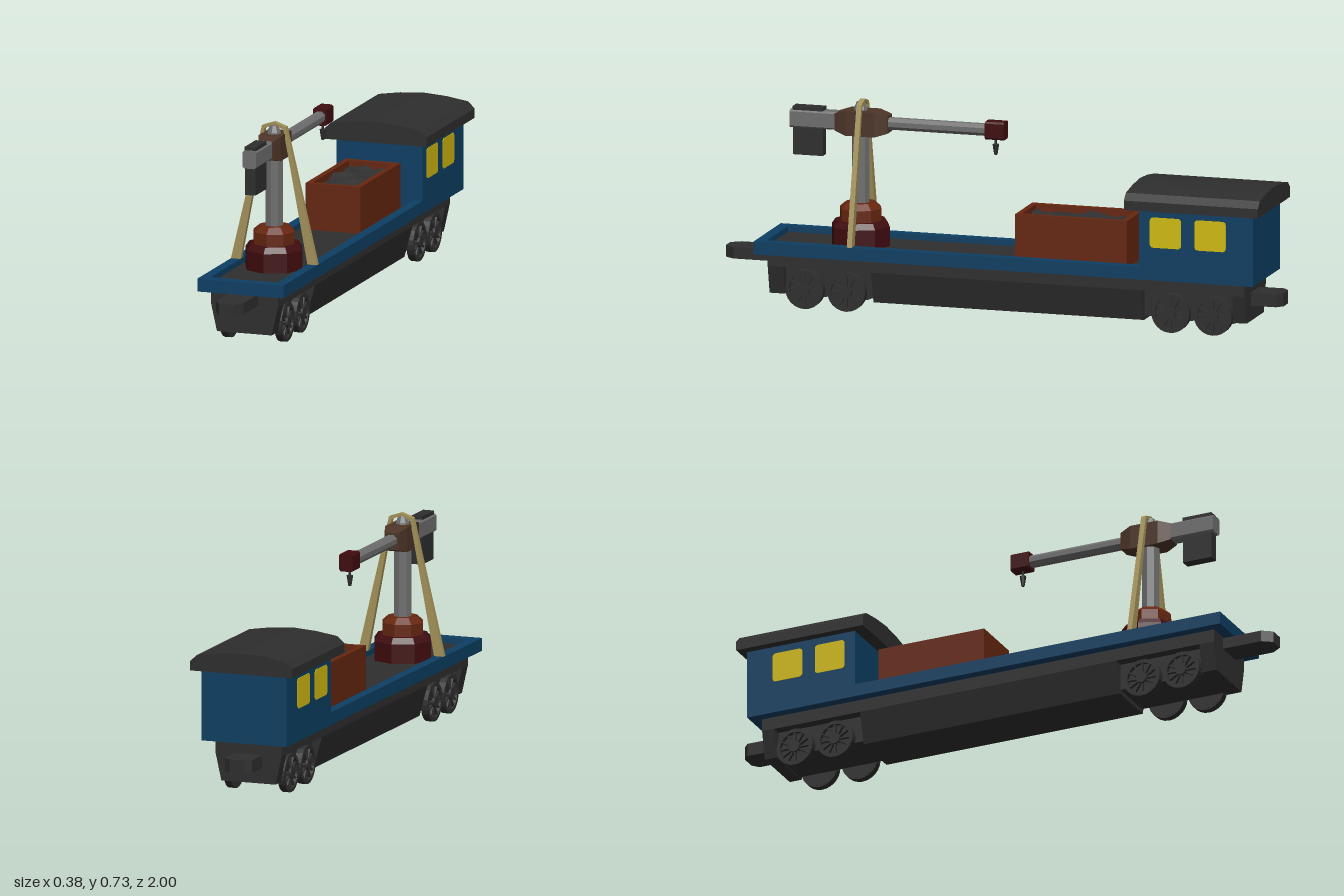
import * as THREE from 'three';

const mat = (name, color, extra = {}) => {
  const m = new THREE.MeshStandardMaterial({ color, flatShading: true, ...extra });
  m.name = name;
  return m;
};

export function createModel() {
  const M = {
    blue: mat('navy blue', 0x0d3f63),
    dark: mat('charcoal', 0x2e2e2e),
    grey: mat('steel grey', 0x6e6e6e),
    rust: mat('rust', 0x66260f),
    red: mat('dark red', 0x400c0f),
    brown: mat('brown', 0x4d3528),
    tan: mat('tan', 0xa39259),
    yellow: mat('window yellow', 0xd0ba10),
    coal: mat('coal', 0x303030, { side: THREE.DoubleSide }),
  };
  const root = new THREE.Group();
  root.name = 'craneWagon';

  const add = (name, geo, m, parent = root) => {
    const mesh = new THREE.Mesh(geo, m);
    mesh.name = name;
    parent.add(mesh);
    return mesh;
  };
  // box given by its limits on each axis
  const box = (name, m, x0, x1, y0, y1, z0, z1, parent) => add(name,
    new THREE.BoxGeometry(x1 - x0, y1 - y0, z1 - z0)
      .translate((x0 + x1) / 2, (y0 + y1) / 2, (z0 + z1) / 2), m, parent);
  // xy outline extruded between two z values
  const prism = (name, m, pts, z0, z1, parent) => {
    const shape = new THREE.Shape(pts.map(p => new THREE.Vector2(...p)));
    const geo = new THREE.ExtrudeGeometry(shape, { depth: z1 - z0, bevelEnabled: false });
    return add(name, geo.translate(0, 0, z0), m, parent);
  };
  // mirrors a half outline (x > 0) across x = 0
  const mirror = half => [...half, ...half.filter(p => p[0] > 0).reverse().map(([x, y]) => [-x, y])];
  // rectangular tray with a rim and a lower floor
  const tray = (name, m, hx, ix, y0, y1, z0, z1, iz0, iz1) => {
    const shape = new THREE.Shape([[-hx, -z1], [hx, -z1], [hx, -z0], [-hx, -z0]].map(p => new THREE.Vector2(...p)));
    shape.holes.push(new THREE.Path([[-ix, -iz1], [-ix, -iz0], [ix, -iz0], [ix, -iz1]].map(p => new THREE.Vector2(...p))));
    const geo = new THREE.ExtrudeGeometry(shape, { depth: y1 - y0, bevelEnabled: false });
    return add(name, geo.rotateX(-Math.PI / 2).translate(0, y0, 0), m);
  };

  // deck
  tray('deckRim', M.blue, 0.157, 0.122, 0.19, 0.235, -0.93, 0.86, -0.9, 0.822);
  box('deckFloor', M.dark, -0.123, 0.123, 0.192, 0.215, -0.91, 0.825);

  // chassis
  box('chassisBeam', M.dark, -0.122, 0.122, 0.145, 0.191, -0.89, 0.82);
  prism('bellyTank', M.dark, mirror([[0.092, 0.035], [0.122, 0.146], [0.122, 0.19]]), -0.52, 0.45);
  box('frontBogie', M.dark, -0.086, 0.086, 0.05, 0.15, 0.44, 0.79);
  box('rearBogie', M.dark, -0.086, 0.086, 0.05, 0.15, -0.86, -0.51);
  const plough = mirror([[0.1, 0.047], [0.122, 0.146]]);
  prism('frontEndBlock', M.dark, plough, 0.765, 0.82);
  prism('rearEndBlock', M.dark, plough, -0.89, -0.845);

  // couplers, plan outline with chamfered tip
  const coupler = (name, y0, y1, zBase, zNeck, zTip) => {
    const pts = [[0.05, -zBase], [0.05, -zNeck], [0.026, -zTip], [-0.026, -zTip], [-0.05, -zNeck], [-0.05, -zBase]];
    const geo = new THREE.ExtrudeGeometry(new THREE.Shape(pts.map(p => new THREE.Vector2(...p))),
      { depth: y1 - y0, bevelEnabled: false });
    add(name, geo.rotateX(-Math.PI / 2).translate(0, y0, 0), M.dark);
  };
  coupler('frontCoupler', 0.147, 0.187, 0.8, 0.965, 1);
  coupler('rearCoupler', 0.1, 0.146, -0.87, -0.98, -1);

  // spoked wheels
  const makeWheel = (side, z) => {
    const g = new THREE.Group();
    g.name = 'wheel';
    const disc = (name, r, depth, x) => add(name,
      new THREE.CylinderGeometry(r, r, depth, 24).rotateZ(Math.PI / 2).translate(x, 0, 0), M.dark, g);
    disc('wheelDisc', 0.063, 0.012, -0.007);
    const ring = new THREE.Shape().absarc(0, 0, 0.068, 0, Math.PI * 2);
    ring.holes.push(new THREE.Path().absarc(0, 0, 0.055, 0, Math.PI * 2, true));
    add('wheelRim', new THREE.ExtrudeGeometry(ring, { depth: 0.025, bevelEnabled: false, curveSegments: 12 })
      .translate(0, 0, -0.0125).rotateY(Math.PI / 2), M.dark, g);
    for (let i = 0; i < 12; i++) {
      add('spoke', new THREE.BoxGeometry(0.012, 0.045, 0.006).translate(0.004, 0.035, 0)
        .rotateX(i * Math.PI / 6), M.dark, g);
    }
    disc('wheelHub', 0.02, 0.03, 0.002);
    g.position.set(side * 0.1, 0.068, z);
    if (side < 0) g.rotation.y = Math.PI;
    root.add(g);
  };
  for (const z of [0.692, 0.542, -0.62, -0.772]) for (const side of [-1, 1]) makeWheel(side, z);

  // cab
  box('cab', M.blue, -0.157, 0.157, 0.2, 0.445, -0.93, -0.522);
  prism('cabRoof', M.dark, mirror([[0.188, 0.437], [0.188, 0.47], [0.163, 0.493], [0.085, 0.505], [0, 0.511]]), -0.957, -0.477);
  const pane = new THREE.Shape();
  const w = 0.056, h = 0.053, r = 0.012;
  pane.absarc(w - r, h - r, r, 0, Math.PI / 2);
  pane.absarc(r - w, h - r, r, Math.PI / 2, Math.PI);
  pane.absarc(r - w, r - h, r, Math.PI, Math.PI * 1.5);
  pane.absarc(w - r, r - h, r, Math.PI * 1.5, Math.PI * 2);
  for (const side of [-1, 1]) for (const z of [-0.617, -0.777]) {
    const win = add('window', new THREE.ExtrudeGeometry(pane, { depth: 0.003, bevelEnabled: false, curveSegments: 3 }), M.yellow);
    win.rotation.y = side * Math.PI / 2;
    win.position.set(side * 0.156, 0.358, z);
  }

  // coal bunker with an uneven heap
  tray('bunker', M.rust, 0.1, 0.08, 0.21, 0.378, -0.46, -0.06, -0.44, -0.08);
  const heap = new THREE.PlaneGeometry(0.162, 0.362, 5, 9).rotateX(-Math.PI / 2);
  const hp = heap.attributes.position;
  for (let i = 0; i < hp.count; i++) {
    hp.setY(i, 0.357 + 0.012 * Math.sin(i * 2.7) * Math.cos(i * 1.3));
  }
  add('coalHeap', heap.translate(0, 0, -0.26), M.coal);

  // crane
  const crane = new THREE.Group();
  crane.name = 'crane';
  crane.position.z = 0.524;
  root.add(crane);
  const turned = (name, m, pts) => add(name,
    new THREE.LatheGeometry(pts.map(p => new THREE.Vector2(...p)), 8), m, crane);
  turned('craneBase', M.red, [[0, 0.21], [0.104, 0.21], [0.104, 0.283], [0.09, 0.303], [0, 0.303]]);
  turned('turntable', M.rust, [[0, 0.3], [0.075, 0.3], [0.075, 0.345], [0.052, 0.365], [0, 0.365]]);
  turned('column', M.grey, [[0, 0.36], [0.032, 0.36], [0.032, 0.66], [0, 0.66]]);
  turned('columnCap', M.grey, [[0, 0.68], [0.026, 0.68], [0.024, 0.692], [0.014, 0.715], [0, 0.715]]);

  // boom hub: box with both ends narrowed
  const hub = new THREE.BoxGeometry(0.08, 0.086, 0.19, 1, 1, 3);
  const p = hub.attributes.position;
  for (let i = 0; i < p.count; i++) {
    const z = p.getZ(i);
    if (Math.abs(z) > 0.09) p.setXYZ(i, p.getX(i) * 0.65, p.getY(i) * 0.7, z);
    else p.setZ(i, Math.sign(z) * 0.052);
  }
  add('boomHub', hub.translate(0, 0.643, -0.008), M.brown, crane);

  add('boom', new THREE.CylinderGeometry(0.022, 0.022, 0.36, 8).rotateY(Math.PI / 8).rotateX(Math.PI / 2)
    .translate(0, 0.645, -0.28), M.grey, crane);
  const bevelBlock = (name, m, hw, hh, c, y, z0, z1) => prism(name, m, [
    [-hw, -hh + c], [-hw + c, -hh], [hw - c, -hh], [hw, -hh + c],
    [hw, hh - c], [hw - c, hh], [-hw + c, hh], [-hw, hh - c]].map(q => [q[0], q[1] + y]), z0, z1, crane);
  bevelBlock('boomHead', M.red, 0.025, 0.031, 0.006, 0.646, -0.52, -0.452);
  bevelBlock('counterArm', M.grey, 0.025, 0.031, 0.006, 0.645, 0.08, 0.248);
  box('counterweight', M.dark, -0.019, 0.019, 0.519, 0.62, 0.13, 0.238, crane);
  box('counterweightTop', M.dark, -0.02, 0.02, 0.67, 0.688, 0.13, 0.238, crane);

  // hook
  add('hookCable', new THREE.CylinderGeometry(0.004, 0.004, 0.03, 6).translate(0, 0.605, -0.484), M.dark, crane);
  add('hook', new THREE.CylinderGeometry(0.012, 0.006, 0.036, 8).translate(0, 0.578, -0.484), M.dark, crane);

  // A-frame strap over the column
  prism('aFrame', M.tan, [
    [0.122, 0.235], [0.157, 0.235], [0.044, 0.711], [0, 0.726], [-0.044, 0.711], [-0.157, 0.235],
    [-0.122, 0.235], [-0.034, 0.702], [0, 0.716], [0.034, 0.702]], -0.016, 0.002, crane);

  return root;
}
